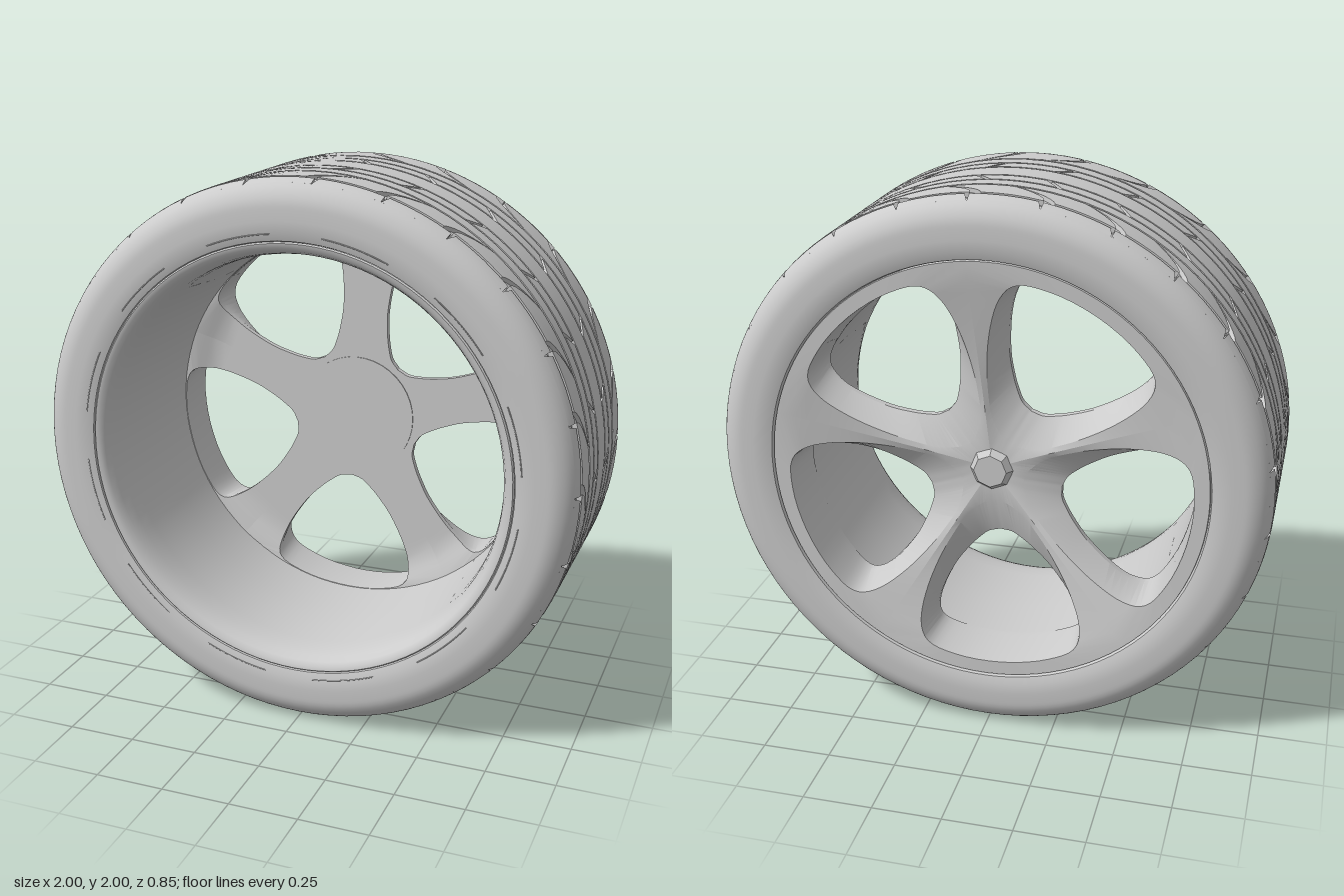
import * as THREE from 'three';
import { toCreasedNormals } from 'three/addons/utils/BufferGeometryUtils.js';

const material = new THREE.MeshStandardMaterial({ color: 0xcccccc, side: THREE.DoubleSide });
const PITCHES = 25, GROOVE = 0.018, SPOKES = 5;
const rad = THREE.MathUtils.degToRad;

function mesh(name, geometry) {
  const m = new THREE.Mesh(geometry, material);
  m.name = name;
  return m;
}

// Skin a list of equally long rows of points
function skin(rows, flip, crease) {
  const n = rows[0].length, index = [];
  for (let r = 0; r < rows.length - 1; r++) {
    for (let c = 0; c < n - 1; c++) {
      const a = r * n + c, b = a + 1, d = b + n, e = a + n;
      if (flip) index.push(a, d, b, a, e, d);
      else index.push(a, b, d, a, d, e);
    }
  }
  const g = new THREE.BufferGeometry();
  g.setAttribute('position', new THREE.Float32BufferAttribute(rows.flat(2), 3));
  g.setIndex(index);
  return toCreasedNormals(g, crease);
}

// Profile of [radius, z] points turned about the axle
function turned(profile, crease = 0.5) {
  const g = new THREE.LatheGeometry(profile.map(([r, z]) => new THREE.Vector2(r, z)), 100);
  g.rotateX(Math.PI / 2);
  return toCreasedNormals(g, crease);
}

// Tread radius across the width, with rounded shoulders
function treadRadius(z) {
  const q = THREE.MathUtils.clamp((Math.abs(z) - 0.32) / 0.1, 0, 1);
  return 1 - 0.1 * (1 - Math.sqrt(1 - q * q));
}

// One tread band; slits follow shift(v) and width(v), v running from outside to inside
function treadBand(zOut, zIn, shift, width) {
  const pitch = Math.PI * 2 / PITCHES, steps = 6, rows = [];
  const row = (v, sunk) => {
    const z = zOut + (zIn - zOut) * v, R = treadRadius(z), w = width ? width(v) : 0, pts = [];
    const put = (t, low) => {
      const r = R - (sunk ? GROOVE : low ? 0.015 : 0);
      pts.push([r * Math.cos(t), r * Math.sin(t), z]);
    };
    for (let k = 0; k < PITCHES; k++) {
      const t = k * pitch - (shift ? shift(v) : 0);
      put(t);
      if (width) { put(t, true); put(t + w, true); put(t + w); }
      for (let j = 1; j < 4; j++) put(t + w + (pitch - w) * j / 4);
    }
    pts.push(pts[0]);
    rows.push(pts);
  };
  row(0, true);
  for (let i = 0; i <= steps; i++) row(i / steps, false);
  row(1, true);
  return skin(rows, zIn < zOut, 0.5);
}

function buildTyre() {
  const tyre = new THREE.Group();
  tyre.name = 'tyre';

  // Carcass: sidewalls, shoulders and the groove floor
  const half = [[0.788, 0.395], [0.793, 0.411], [0.82, 0.42], [0.86, 0.423]];
  for (const z of [0.42, 0.4195, 0.417, 0.412, 0.403, 0.394, 0.385, 0.375]) half.push([treadRadius(z), z]);
  for (const z of [0.375, 0.36, 0.335, 0.2]) half.push([treadRadius(z) - GROOVE, z]);
  const back = half.map(([r, z]) => [r, -z]);
  tyre.add(mesh('carcass', turned([...back, ...half.reverse()])));

  // Tread bands, mirrored about the middle
  tyre.add(mesh('centreTread', treadBand(-0.06, 0.06)));
  for (const s of [1, -1]) {
    tyre.add(mesh('innerTread', treadBand(s * 0.132, s * 0.07, v => 0.05 * v, () => 0.018)));
    tyre.add(mesh('ribTread', treadBand(s * 0.205, s * 0.142)));
    tyre.add(mesh('outerTread', treadBand(s * 0.33, s * 0.217, v => 0.135 * v * v, v => 0.006 + 0.032 * (1 - v))));
    tyre.add(mesh('shoulderTread', treadBand(s * 0.375, s * 0.342, v => 0.015 * v, v => 0.002 + 0.016 * v)));
  }

  // Fine raised dashes on the open side
  for (let i = 0; i < 12; i++) {
    const dash = mesh('sidewallDash', new THREE.TorusGeometry(0.818, 0.002, 4, 8, rad(17)));
    dash.position.z = 0.42;
    dash.rotation.z = rad(i * 30 + 5);
    tyre.add(dash);
  }
  return tyre;
}

// Depth of the dished wheel face
function faceZ(r) {
  return -0.295 - 0.11 * Math.pow(Math.min(r / 0.74, 1), 1.3);
}

// Inner side of the spokes, curving into the barrel
function innerZ(r) {
  return -0.24 + 0.04 * THREE.MathUtils.smoothstep(r, 0.6, 0.76);
}

// Closed loop from half an outline of [radius, degrees], mirrored about its middle
function loop(outline, zOf, tension) {
  const curve = new THREE.CatmullRomCurve3(
    outline.map(([r, a]) => new THREE.Vector3(r, rad(a), 0)), false, 'catmullrom', tension);
  const n = (outline.length - 1) * 4, pts = [];
  for (let i = 0; i <= 2 * n; i++) {
    const p = curve.getPoint((i <= n ? i : 2 * n - i) / n);
    const a = i <= n ? p.y : -p.y;
    pts.push([p.x * Math.cos(a), p.x * Math.sin(a), zOf(p.x)]);
  }
  return pts;
}

// One fifth of the wheel face: a window with sloping sides up to the spoke ridges
function spokeSector() {
  const wedge = [[0.05, 0], [0.06, 36], [0.2, 36], [0.3, 36], [0.42, 36], [0.55, 36], [0.66, 36], [0.785, 36], [0.785, 18], [0.785, 0]];
  const hole = [[0.255, 0], [0.268, 9], [0.30, 15], [0.35, 20], [0.43, 24], [0.55, 25.5], [0.66, 24.5], [0.712, 21.5], [0.722, 13], [0.722, 0]];
  const crest = [[0.12, 0], [0.14, 18], [0.2, 30], [0.3, 32.5], [0.42, 32], [0.55, 30], [0.66, 27], [0.72, 22.5], [0.733, 14], [0.735, 0]];
  return skin([
    loop(wedge, innerZ, 0),
    loop(hole, innerZ, 0.5),
    loop(hole, r => innerZ(r) - 0.025, 0.5),
    loop(crest, faceZ, 0.5),
    loop(wedge, r => faceZ(r) - 0.008 * (1 - r / 0.785), 0),
  ], true, 0.35);
}

function buildWheel() {
  const wheel = new THREE.Group();
  wheel.name = 'wheel';

  // Barrel, open towards the front with a rounded lip
  wheel.add(mesh('barrel', turned([
    [0.79, 0.405], [0.785, 0.411], [0.77, 0.408], [0.757, 0.395], [0.745, 0.37], [0.736, 0.33],
    [0.732, 0.27], [0.727, 0], [0.724, -0.25],
  ], 0.9)));
  wheel.add(mesh('rimEdge', turned([[0.775, -0.404], [0.786, -0.405], [0.788, -0.395]])));

  // Five spokes between five windows
  const sector = spokeSector();
  for (let i = 0; i < SPOKES; i++) {
    const spoke = mesh('spokeSector', sector);
    spoke.rotation.z = rad(49.5 + i * 360 / SPOKES);
    wheel.add(spoke);
  }

  // Flat hub inside, faceted cap outside
  const hub = mesh('hub', new THREE.CylinderGeometry(0.23, 0.23, 0.02, 40).rotateX(Math.PI / 2));
  hub.position.z = -0.246;
  const cap = mesh('hubCap', toCreasedNormals(
    new THREE.CylinderGeometry(0.06, 0.095, 0.05, 8).rotateX(-Math.PI / 2), 0.2));
  cap.position.z = -0.308;
  wheel.add(hub, cap);
  return wheel;
}

export function createModel() {
  const model = new THREE.Group();
  model.name = 'wheelWithTyre';
  const parts = [buildTyre(), buildWheel()];
  for (const part of parts) part.position.y = 1;
  model.add(...parts);
  return model;
}
